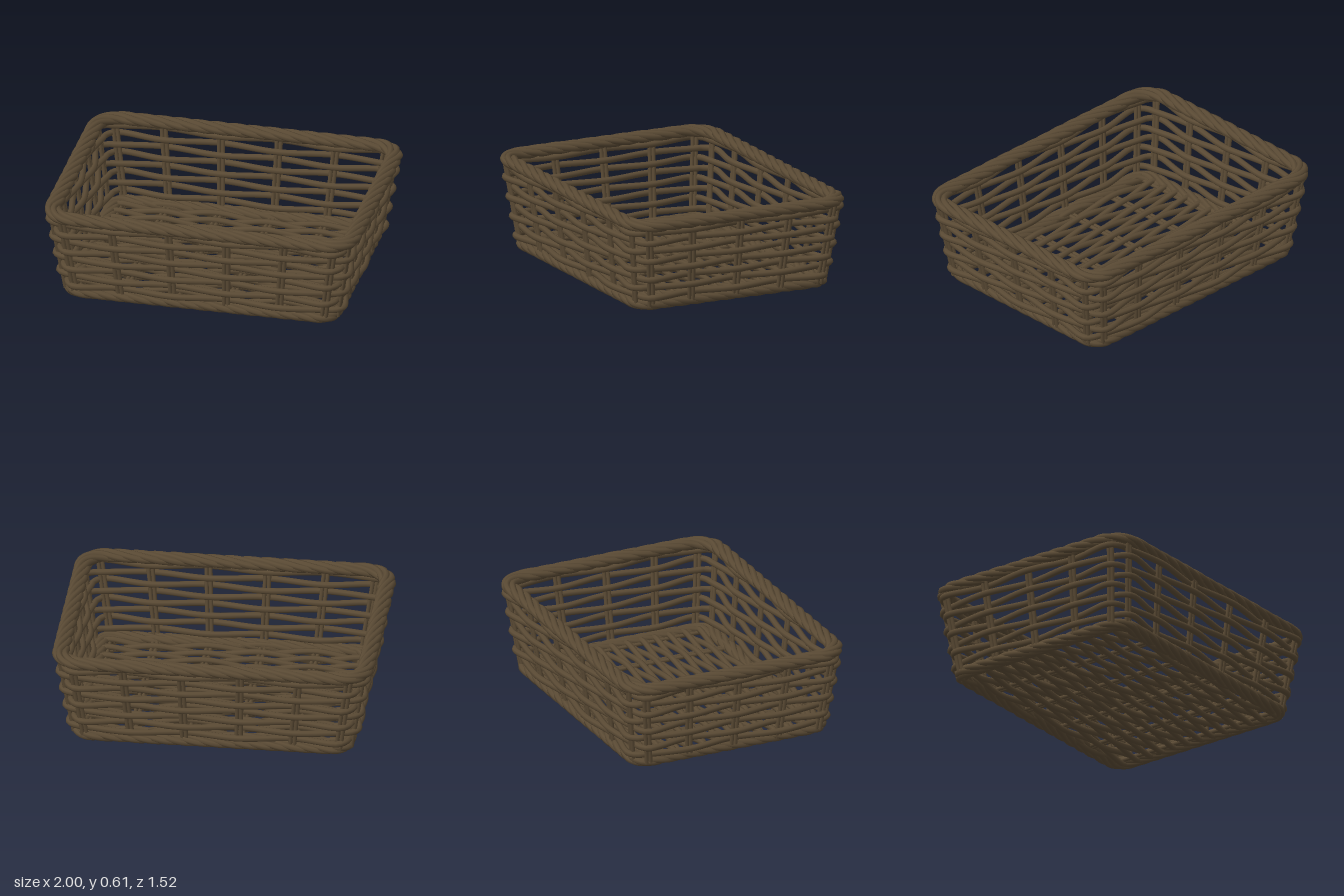
import * as THREE from 'three';
import { mergeGeometries } from 'three/addons/utils/BufferGeometryUtils.js';

const wicker = new THREE.MeshStandardMaterial({ color: 0x5a4a34 });
wicker.name = 'darkWicker';
wicker.side = THREE.DoubleSide;

const V = (x, y, z) => new THREE.Vector3(x, y, z);

// Half width and half depth of the flaring wall at height y
const halfX = (y) => 0.855 + 0.16 * y;
const halfZ = (y) => 0.645 + 0.125 * y;

// Smooth cane running through the given points
function cane(points, radius, segments, closed = false) {
  const curve = new THREE.CatmullRomCurve3(points, closed);
  curve.arcLengthDivisions = segments * 3;
  return new THREE.TubeGeometry(curve, segments, radius, 7, closed);
}

function part(name, geometries) {
  const mesh = new THREE.Mesh(mergeGeometries(geometries), wicker);
  mesh.name = name;
  return mesh;
}

// Twisted rope of canes around a rounded rectangle
function rope(name, y, hx, hz, r, wide, high) {
  const cx = hx - r, cz = hz - r, q = Math.PI / 2;
  const path = new THREE.Path();
  path.absarc(cx, cz, r, 0, q);
  path.absarc(-cx, cz, r, q, 2 * q);
  path.absarc(-cx, -cz, r, 2 * q, 3 * q);
  path.absarc(cx, -cz, r, 3 * q, 4 * q);
  path.closePath();
  const n = 180, strands = 5, turns = 11;
  const base = path.getSpacedPoints(n).slice(0, n);
  const canes = [];
  for (let s = 0; s < strands; s++) {
    const points = base.map((p, i) => {
      const tangent = base[(i + 1) % n].clone().sub(base[(i + n - 1) % n]).normalize();
      const a = 2 * Math.PI * (s / strands + turns * i / n);
      const out = wide * Math.cos(a);
      return V(p.x + tangent.y * out, y + high * Math.sin(a), p.y - tangent.x * out);
    });
    canes.push(cane(points, 0.021, 300, true));
  }
  return part(name, canes);
}

// Stake positions in order around the wall, as fractions of the half sizes
const alongX = [-0.91, -0.58, -0.195, 0.195, 0.58, 0.91];
const alongZ = [-0.89, -0.47, 0, 0.47, 0.89];
const flip = (list) => [...list].reverse();
const sides = [
  { list: alongZ, nx: 1, nz: 0 },
  { list: flip(alongX), nx: 0, nz: 1 },
  { list: flip(alongZ), nx: -1, nz: 0 },
  { list: alongX, nx: 0, nz: -1 },
];

// Point on a wall side at fraction f, slid sideways and pushed outwards
function wallPoint(side, f, y, slide = 0, out = 0) {
  return side.nx
    ? V(side.nx * (halfX(y) + out), y, f * halfZ(y) + slide)
    : V(f * halfX(y) + slide, y, side.nz * (halfZ(y) + out));
}

// One weaver passing in front of and behind alternate stakes
function weaver(row) {
  const y = 0.525 - row * 0.061;
  const points = [];
  let k = row;
  sides.forEach((side, i) => {
    for (const f of side.list) points.push(wallPoint(side, f, y, 0, k++ % 2 ? 0.021 : -0.021));
    const next = sides[(i + 1) % 4];
    points.push(V((side.nx + next.nx) * (halfX(y) - 0.03), y, (side.nz + next.nz) * (halfZ(y) - 0.03)));
  });
  return cane(points, 0.02, 220, true);
}

export function createModel() {
  const basket = new THREE.Group();
  basket.name = 'wickerBasket';

  // Twisted borders
  basket.add(rope('topRim', 0.573, 0.945, 0.708, 0.15, 0.033, 0.018));
  basket.add(rope('bottomRim', 0.045, 0.83, 0.633, 0.09, 0.03, 0.016));

  // Horizontal wall weave
  const rows = [];
  for (let i = 0; i < 8; i++) rows.push(weaver(i));
  basket.add(part('wallWeavers', rows));

  // Paired upright stakes
  const stakes = [];
  for (const side of sides)
    for (const f of side.list)
      for (const slide of [-0.013, 0.013])
        stakes.push(cane([wallPoint(side, f, 0.04, slide), wallPoint(side, f, 0.57, slide)], 0.013, 4));
  basket.add(part('wallStakes', stakes));

  // Floor weave: one cane running back and forth across the floor stakes
  const floorX = [-0.79, -0.5, -0.165, 0.165, 0.5, 0.79];
  const runs = 26, floorPoints = [];
  for (let i = 0; i < runs; i++) {
    const z = -0.61 + 1.22 * i / (runs - 1);
    const run = floorX.map((x, k) =>
      V(x, 0.041 + ((i + k) % 2 ? 0.019 : -0.019), z + 0.005 * Math.sin(i * 2.3 + k * 1.7)));
    run.unshift(V(-0.83, 0.041, z));
    run.push(V(0.83, 0.041, z));
    floorPoints.push(...(i % 2 ? run.reverse() : run));
  }
  basket.add(part('floorWeave', [cane(floorPoints, 0.019, runs * 56)]));

  // Paired floor stakes
  const floorStakes = [];
  for (const x of floorX)
    for (const slide of [-0.013, 0.013])
      floorStakes.push(cane([V(x + slide, 0.041, -0.635), V(x + slide, 0.041, 0.635)], 0.013, 4));
  basket.add(part('floorStakes', floorStakes));

  return basket;
}
